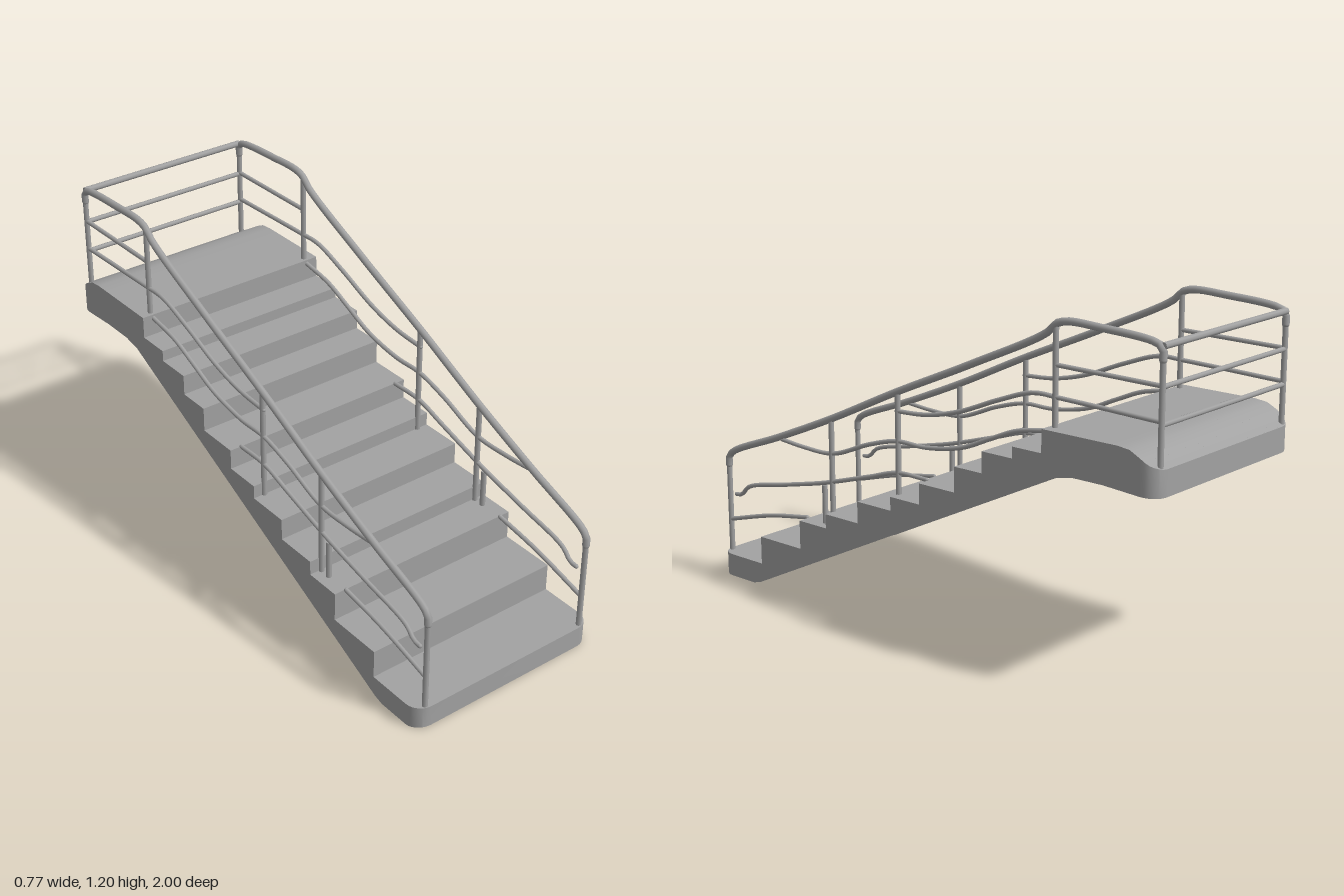
import * as THREE from 'three';
import { toCreasedNormals } from 'three/addons/utils/BufferGeometryUtils.js';

// Each step: [z of its front edge, tread height]
const STEPS = [[1, 0.085], [0.775, 0.19], [0.565, 0.297], [0.43, 0.35], [0.27, 0.43], [0.11, 0.48],
  [-0.025, 0.555], [-0.185, 0.645], [-0.305, 0.72], [-0.435, 0.76], [-0.555, 0.84]];
// Lower edge of the stringers and the drop behind the landing, as [z, y]
const UNDERSIDE = [[1, 0.005], [0.96, 0], [0.82, 0], [0.785, 0.01], [-0.55, 0.66], [-0.61, 0.69], [-0.68, 0.703], [-0.8, 0.703], [-1, 0.69]];
const BACK_DROP = [[-0.855, 0.84], [-0.9, 0.835], [-0.94, 0.815], [-0.97, 0.795], [-1, 0.78]];
const HALF_WIDTH = 0.386, CORNER = 0.06, WALL = 0.045, THICK = 0.03;
const RAIL_X = 0.342;

function interpolate(points, z) {
  for (let i = 1; i < points.length; i++) {
    const [z0, y0] = points[i - 1], [z1, y1] = points[i];
    if (z >= z1) return y0 + (y1 - y0) * Math.max(0, (z0 - z) / (z0 - z1));
  }
  return points[points.length - 1][1];
}

function stepHeight(z) {
  let y = STEPS[0][1];
  for (const [front, height] of STEPS) if (z < front) y = height;
  return y;
}

// Inverted channel section: outer sides, tread, and hollow underneath
function section(z, offset) {
  const s = z + offset;
  const into = Math.max(0, Math.abs(z) - (1 - CORNER));
  const w = HALF_WIDTH - CORNER + Math.sqrt(Math.max(0, CORNER * CORNER - into * into));
  const top = s < -0.855 ? interpolate(BACK_DROP, s) : stepHeight(s);
  const bottom = interpolate(UNDERSIDE, s);
  const solid = Math.abs(s) > 1 - WALL;
  const ceiling = solid ? bottom : Math.max(bottom, Math.min(stepHeight(s + THICK), top) - THICK);
  const v = w - WALL;
  return [[-w, bottom], [-w, top], [w, top], [w, bottom], [v, bottom], [v, ceiling], [-v, ceiling], [-v, bottom]]
    .map(([x, y]) => [x, y, z]);
}

function staircaseGeometry() {
  const stations = new Set([1 - WALL, WALL - 1]);
  for (const [z] of STEPS) { stations.add(z); if (z < 1) stations.add(z - THICK); }
  for (const [z] of [...UNDERSIDE, ...BACK_DROP]) stations.add(z);
  for (let i = 0; i <= 6; i++) {
    const z = 1 - CORNER + CORNER * Math.sin(i / 6 * Math.PI / 2);
    stations.add(z);
    stations.add(-z);
  }
  const sections = [];
  for (const z of [...stations].sort((a, b) => b - a)) sections.push(section(z, 1e-5), section(z, -1e-5));

  const positions = [];
  const quad = (a, b, c, d) => positions.push(...a, ...b, ...c, ...a, ...c, ...d);
  for (let i = 0; i + 1 < sections.length; i++) {
    const p = sections[i], q = sections[i + 1];
    for (let j = 0; j < 8; j++) {
      const k = (j + 1) % 8;
      quad(p[j], p[k], q[k], q[j]);
    }
  }
  const front = sections[0], back = sections[sections.length - 1];
  quad(front[0], front[3], front[2], front[1]);
  quad(back[0], back[1], back[2], back[3]);
  const geometry = new THREE.BufferGeometry();
  geometry.setAttribute('position', new THREE.Float32BufferAttribute(positions, 3));
  return toCreasedNormals(geometry, 0.5);
}

// Railing paths as [z, y]
const HANDRAIL = [[0.985, 0.42], [0.984, 0.45], [0.96, 0.475], [0.715, 0.573], [0.435, 0.692], [0.115, 0.842], [-0.22, 0.99],
  [-0.54, 1.142], [-0.575, 1.175], [-0.62, 1.188], [-0.75, 1.186], [-0.96, 1.17], [-0.983, 1.155], [-0.985, 1.12]];
const MID_RAILS = [
  [[0.985, 0.205], [0.76, 0.265], [0.57, 0.298]],
  [[0.95, 0.31], [0.92, 0.315], [0.88, 0.352], [0.68, 0.4], [0.48, 0.447], [0.25, 0.515], [0.115, 0.555], [-0.02, 0.557]],
  [[0.69, 0.57], [0.58, 0.562], [0.43, 0.565], [0.25, 0.632], [0.115, 0.668], [-0.02, 0.67], [-0.18, 0.7], [-0.31, 0.755], [-0.42, 0.8], [-0.555, 0.825]],
  [[0.115, 0.775], [-0.02, 0.785], [-0.165, 0.82], [-0.34, 0.89], [-0.485, 0.938], [-0.6, 0.938], [-0.985, 0.928]],
  [[-0.575, 1.043], [-0.985, 1.04]],
];
// Posts as [z, foot, top]
const POSTS = [[0.985, 0.08, 0.44], [0.475, 0.29, 0.44], [0.435, 0.29, 0.69], [0.11, 0.42, 0.845], [-0.575, 0.83, 1.17], [-0.985, 0.7, 1.14]];

export function createModel() {
  const model = new THREE.Group();
  const metal = new THREE.MeshStandardMaterial({ color: 0xa2a2a2 });

  const add = (parent, name, geometry) => {
    const mesh = new THREE.Mesh(geometry, metal);
    mesh.name = name;
    parent.add(mesh);
    return mesh;
  };
  const tube = (parent, name, path, x, radius) => {
    const curve = new THREE.CatmullRomCurve3(path.map(([z, y]) => new THREE.Vector3(x, y, z)), false, 'centripetal');
    add(parent, name, new THREE.TubeGeometry(curve, path.length * 6, radius, 8));
    // Rounded ends
    for (const [z, y] of [path[0], path[path.length - 1]]) {
      add(parent, name + 'End', new THREE.SphereGeometry(radius, 8, 6)).position.set(x, y, z);
    }
  };

  // Steps, landing and stringers
  add(model, 'staircase', staircaseGeometry());

  // Side railings
  for (const side of [-1, 1]) {
    const railing = new THREE.Group();
    railing.name = side < 0 ? 'rightRailing' : 'leftRailing';
    model.add(railing);
    const x = side * RAIL_X;
    tube(railing, 'handrail', HANDRAIL, x, 0.013);
    for (const path of MID_RAILS) tube(railing, 'midRail', path, x, 0.008);
    for (const [z, foot, top] of POSTS) {
      add(railing, 'post', new THREE.CylinderGeometry(0.01, 0.01, top - foot, 8)).position.set(x, (foot + top) / 2, z);
    }
  }

  // Rails across the back of the landing
  for (const [y, radius] of [[1.163, 0.012], [1.037, 0.009], [0.918, 0.009]]) {
    const rail = add(model, 'backRail', new THREE.CylinderGeometry(radius, radius, RAIL_X * 2, 8));
    rail.rotation.z = Math.PI / 2;
    rail.position.set(0, y, -0.985);
  }
  return model;
}
